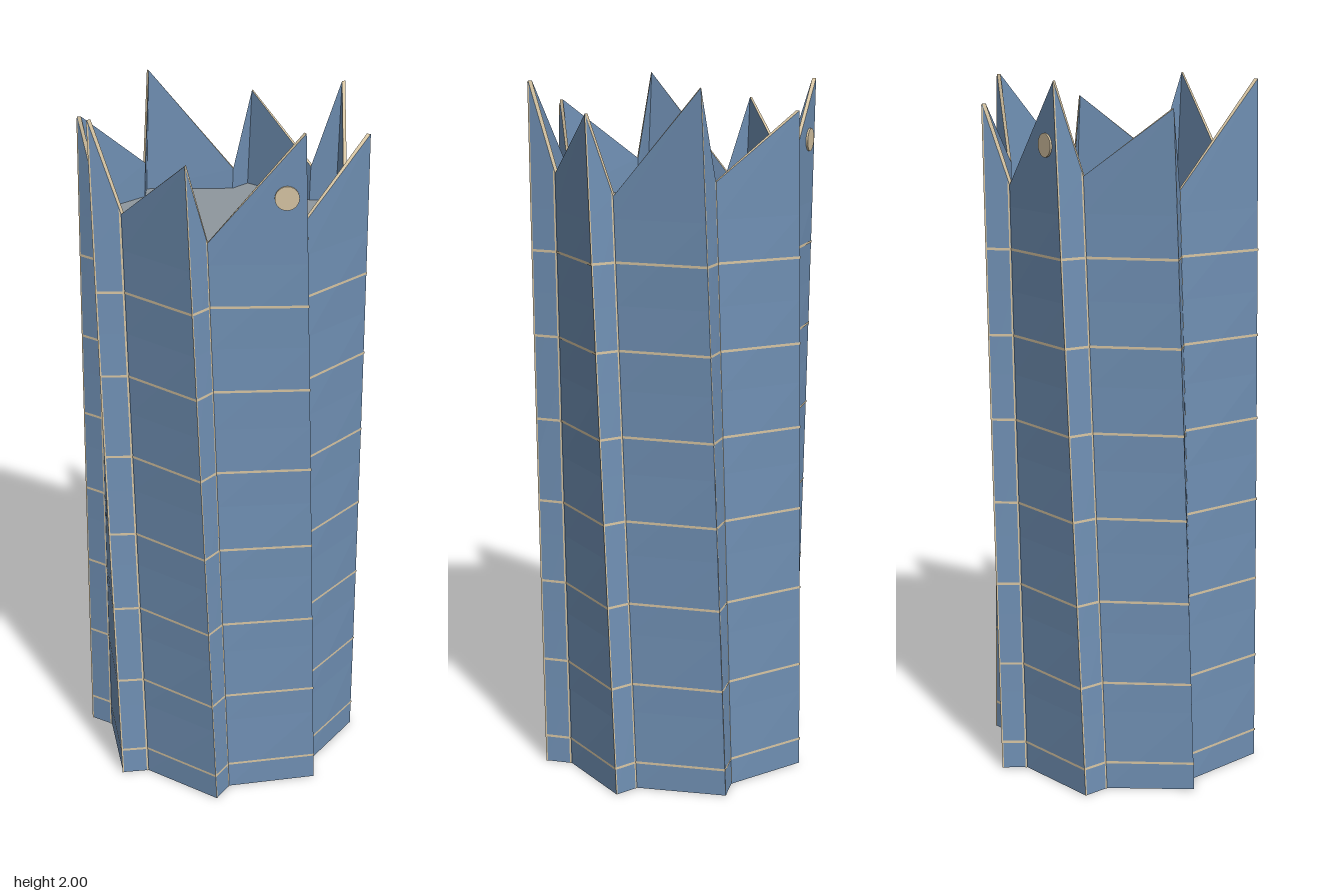
import * as THREE from 'three';

const TWIST = THREE.MathUtils.degToRad(5.75); // turn per unit of height
const ROOF_Y = 1.65;
const ROWS = 8;
const WALL = 0.973; // inner skin radius relative to outer skin

// One quarter of the saw-tooth plan: [angle at ground, radius, top height]
const QUARTER = [
  [5.5, 0.348, 1.71],
  [11.25, 0.409, 1.93],
  [48.8, 0.348, 1.75],
  [56.25, 0.409, 2.0],
];
const CORNERS = [];
for (let q = 0; q < 4; q++) {
  for (const [a, r, top] of QUARTER) {
    CORNERS.push({ a: THREE.MathUtils.degToRad(a + 90 * q), r, top });
  }
}
const COUNT = CORNERS.length;

// Corner i of the twisted plan at height y
function corner(i, y, scale = 1) {
  const c = CORNERS[i % COUNT];
  const a = c.a + TWIST * y;
  return new THREE.Vector3(Math.cos(a) * c.r * scale, y, Math.sin(a) * c.r * scale);
}

// Corner i on row k: level rows up to the roof, then the tooth edge
function rowPoint(i, k, scale = 1) {
  return corner(i, k === ROWS ? CORNERS[i % COUNT].top : (ROOF_Y * k) / (ROWS - 1), scale);
}

// Point a fraction u of the way along the panel from corner i
function panelPoint(i, u, k, scale = 1) {
  return rowPoint(i, k, scale).lerp(rowPoint(i + 1, k, scale), u);
}

function addQuad(out, a, b, c, d) {
  for (const p of [a, b, c, a, c, d]) out.push(p.x, p.y, p.z);
}

function toMesh(name, positions, material) {
  const g = new THREE.BufferGeometry();
  g.setAttribute('position', new THREE.Float32BufferAttribute(positions, 3));
  g.computeVertexNormals();
  const mesh = new THREE.Mesh(g, material);
  mesh.name = name;
  return mesh;
}

export function createModel() {
  const glass = new THREE.MeshStandardMaterial({ color: 0x7090b4 });
  glass.name = 'blue glass';
  const trim = new THREE.MeshStandardMaterial({ color: 0xd8c6a4 });
  trim.name = 'cream trim';
  const slab = new THREE.MeshStandardMaterial({ color: 0x8e979e, side: THREE.DoubleSide });
  slab.name = 'grey roof';

  const group = new THREE.Group();
  group.name = 'twistedTower';

  const walls = [], rim = [], bands = [], edges = [], roof = [];
  const OUT = 1.005;

  for (let i = 0; i < COUNT; i++) {
    const j = i + 1;
    // Outer and inner skins of each panel
    for (let k = 0; k < ROWS; k++) {
      addQuad(walls, rowPoint(j, k), rowPoint(i, k), rowPoint(i, k + 1), rowPoint(j, k + 1));
      addQuad(walls, rowPoint(i, k, WALL), rowPoint(j, k, WALL),
        rowPoint(j, k + 1, WALL), rowPoint(i, k + 1, WALL));
    }
    // Bottom edge and cream top rim closing the two skins
    addQuad(walls, rowPoint(i, 0), rowPoint(j, 0), rowPoint(j, 0, WALL), rowPoint(i, 0, WALL));
    addQuad(rim, rowPoint(j, ROWS), rowPoint(i, ROWS),
      rowPoint(i, ROWS, WALL), rowPoint(j, ROWS, WALL));

    // Horizontal floor bands
    for (let f = 0; f < 7; f++) {
      const y0 = 0.077 + f * 0.242, y1 = y0 + 0.007;
      addQuad(bands, corner(j, y0, OUT), corner(i, y0, OUT), corner(i, y1, OUT), corner(j, y1, OUT));
    }

    // Slim upright trims on both edges of each narrow return
    if (i % 2 === 0) {
      for (const [u0, u1] of [[0, 0.06], [0.94, 1]]) {
        for (let k = 0; k < ROWS; k++) {
          addQuad(edges, panelPoint(i, u1, k, OUT), panelPoint(i, u0, k, OUT),
            panelPoint(i, u0, k + 1, OUT), panelPoint(i, u1, k + 1, OUT));
        }
      }
    }

    // Roof slab, one wedge per panel
    for (const p of [new THREE.Vector3(0, ROOF_Y, 0), corner(j, ROOF_Y, 0.985), corner(i, ROOF_Y, 0.985)]) {
      roof.push(p.x, p.y, p.z);
    }
  }

  group.add(
    toMesh('walls', walls, glass),
    toMesh('topRim', rim, trim),
    toMesh('floorBands', bands, trim),
    toMesh('edgeTrims', edges, trim),
    toMesh('roof', roof, slab),
  );

  // Round plaques on the front and back teeth
  const plaqueGeo = new THREE.CylinderGeometry(0.032, 0.032, 0.009, 24).rotateX(Math.PI / 2);
  for (const [name, i] of [['frontPlaque', 3], ['backPlaque', 11]]) {
    const low = panelPoint(i, 0.2, ROWS - 1), high = panelPoint(i, 0.2, ROWS);
    const along = rowPoint(i, ROWS - 1).sub(rowPoint(i + 1, ROWS - 1));
    const normal = along.cross(high.clone().sub(low)).normalize();
    const plaque = new THREE.Mesh(plaqueGeo, trim);
    plaque.name = name;
    plaque.position.copy(low.lerp(high, 0.62)).addScaledVector(normal, 0.001);
    plaque.quaternion.setFromUnitVectors(new THREE.Vector3(0, 0, 1), normal);
    group.add(plaque);
  }
  return group;
}
